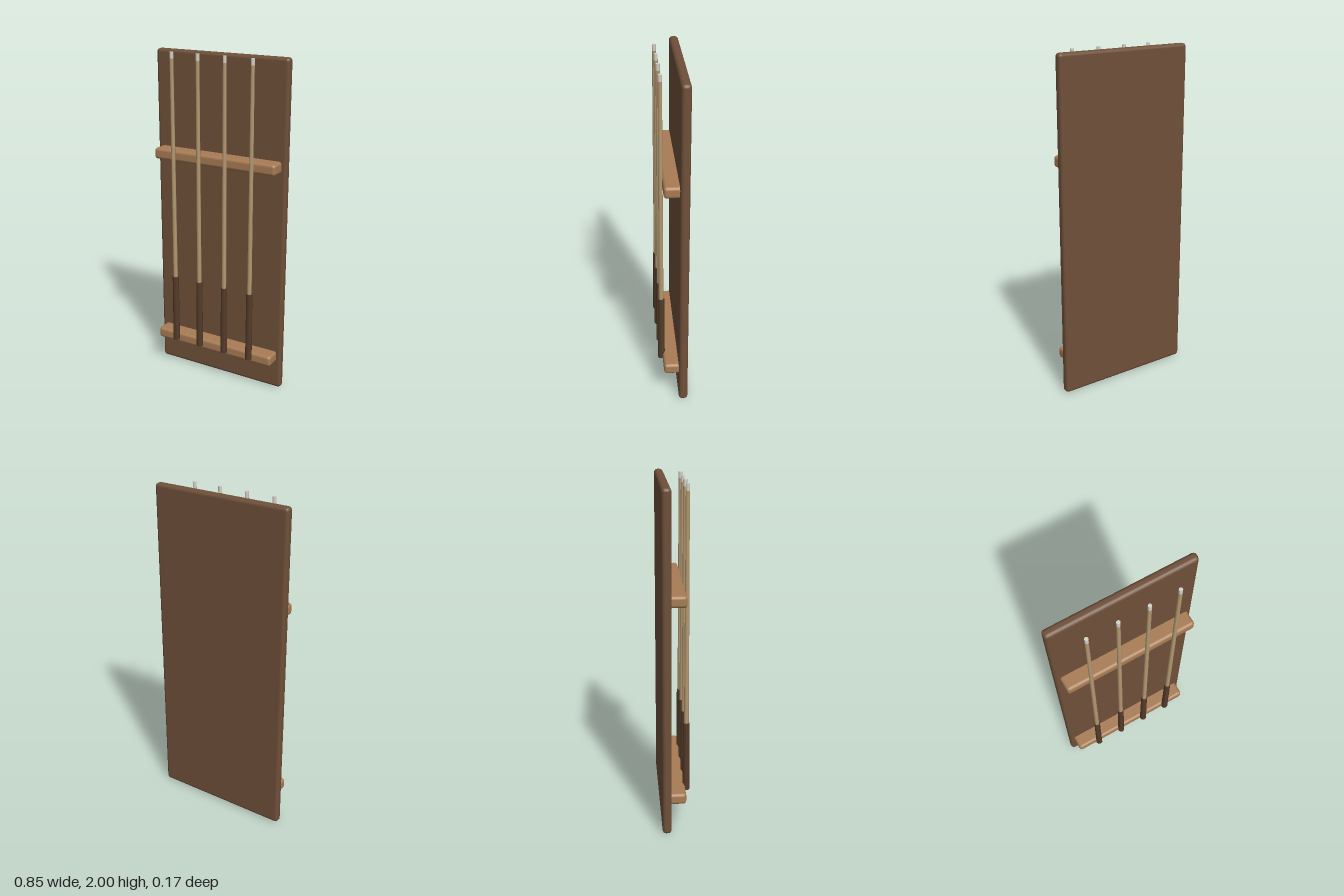
import * as THREE from 'three';
import { RoundedBoxGeometry } from 'three/addons/geometries/RoundedBoxGeometry.js';

const paint = (color) => new THREE.MeshStandardMaterial({ color });
const boardWood = paint(0x6f5039);
const railWood = paint(0xa87c54);
const gripWood = paint(0x553c2a);
const shaftWood = paint(0xb59a72);
const tipWhite = paint(0xd6d3c8);

function add(parent, name, geometry, material, x, y, z) {
  const mesh = new THREE.Mesh(geometry, material);
  mesh.name = name;
  mesh.position.set(x, y, z);
  parent.add(mesh);
}

// Eight-sided rod section standing between two heights
function addRod(parent, name, rTop, rBottom, y0, y1, material) {
  const geometry = new THREE.CylinderGeometry(rTop, rBottom, y1 - y0, 8);
  add(parent, name, geometry, material, 0, (y0 + y1) / 2, 0);
}

export function createModel() {
  const group = new THREE.Group();
  group.name = 'wallRack';

  // Back board
  add(group, 'backBoard', new RoundedBoxGeometry(0.85, 2, 0.053, 2, 0.02), boardWood, 0, 1, -0.0585);

  // Two horizontal rails, set slightly into the board
  for (const [name, y] of [['lowerRail', 0.212], ['upperRail', 1.397]]) {
    add(group, name, new RoundedBoxGeometry(0.794, 0.067, 0.11, 2, 0.018), railWood, 0, y, 0);
  }

  // Four tapered sticks: grip, shaft and tip
  for (const x of [-0.257, -0.086, 0.086, 0.257]) {
    const stick = new THREE.Group();
    stick.name = 'stick';
    stick.position.set(x, 0, 0.063);
    addRod(stick, 'grip', 0.019, 0.021, 0.205, 0.635, gripWood);
    addRod(stick, 'shaft', 0.011, 0.014, 0.635, 1.963, shaftWood);
    addRod(stick, 'tip', 0.011, 0.011, 1.963, 2, tipWhite);
    group.add(stick);
  }
  return group;
}
